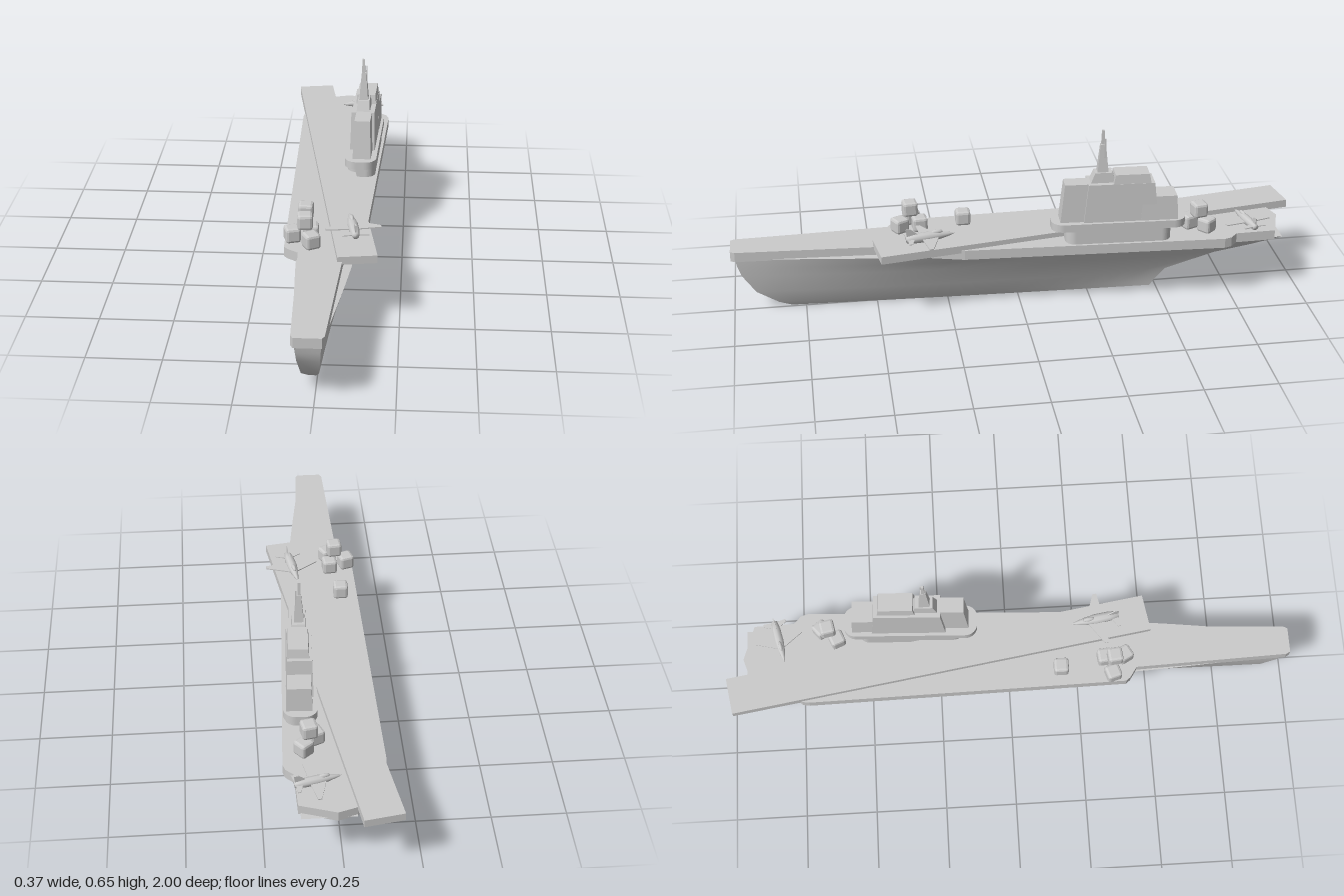
import * as THREE from 'three';
import { toCreasedNormals } from 'three/addons/utils/BufferGeometryUtils.js';
import { RoundedBoxGeometry } from 'three/addons/geometries/RoundedBoxGeometry.js';

const material = new THREE.MeshStandardMaterial({ color: 0xcccccc });
const flat = new THREE.MeshStandardMaterial({ color: 0xcccccc, flatShading: true });

function add(parent, name, geometry, x = 0, y = 0, z = 0, mat = material) {
  const mesh = new THREE.Mesh(geometry, mat);
  mesh.name = name;
  mesh.position.set(x, y, z);
  parent.add(mesh);
  return mesh;
}

// Horizontal plate with an outline in (x, z)
function slab(shape, height) {
  const geo = new THREE.ExtrudeGeometry(shape, { depth: height, bevelEnabled: false, curveSegments: 8 });
  return geo.rotateX(-Math.PI / 2);
}
const outline = (points) => new THREE.Shape(points.map(([x, z]) => new THREE.Vector2(x, -z)));

function roundedRect(w, d, r) {
  const s = new THREE.Shape(), x = w / 2, y = d / 2;
  s.moveTo(x, r - y);
  s.absarc(x - r, y - r, r, 0, Math.PI / 2);
  s.absarc(r - x, y - r, r, Math.PI / 2, Math.PI);
  s.absarc(r - x, r - y, r, Math.PI, Math.PI * 1.5);
  s.absarc(x - r, r - y, r, Math.PI * 1.5, Math.PI * 2);
  return s;
}

// Block standing on y = 0, narrowing towards its top
function taper(w, h, d, topW, topD) {
  const geo = new THREE.BoxGeometry(w, h, d).translate(0, h / 2, 0);
  const p = geo.attributes.position;
  for (let i = 0; i < p.count; i++) {
    if (p.getY(i) > h / 2) p.setXYZ(i, p.getX(i) * topW / w, h, p.getZ(i) * topD / d);
  }
  geo.computeVertexNormals();
  return geo;
}

// V-shaped hull: each waterline is [y, bow z, stern z, bow, middle and stern half width]
function hullGeometry() {
  const rows = [
    [0.003, 0.8, -0.48, 0.003, 0.008, 0.005],
    [0.022, 0.845, -0.49, 0.012, 0.018, 0.008],
    [0.075, 0.92, -0.53, 0.028, 0.042, 0.017],
    [0.145, 0.966, -0.7, 0.036, 0.068, 0.045],
    [0.18, 0.978, -0.82, 0.039, 0.088, 0.068],
    [0.215, 0.985, -0.93, 0.042, 0.11, 0.088],
  ];
  const steps = 20, n = rows.length, ring = n * 2, pos = [], idx = [];
  for (let i = 0; i <= steps; i++) {
    const t = i / steps;
    for (let k = 0; k < ring; k++) {
      const side = k < n ? 1 : -1;
      const [y, bow, stern, a, b, c] = rows[k < n ? n - 1 - k : k - n];
      const z = bow + (stern - bow) * t;
      const half = t < 0.5
        ? a + (b - a) * Math.sin(t * Math.PI)
        : b + (c - b) * (2 * t - 1) ** 2;
      pos.push(0.015 - 0.034 * z + side * half, y, z);
    }
  }
  for (let i = 0; i < steps; i++) {
    for (let k = 0; k < ring; k++) {
      const a = i * ring + k, b = i * ring + (k + 1) % ring;
      idx.push(a, b, a + ring, b, b + ring, a + ring);
    }
  }
  // bow and stern faces
  const last = steps * ring;
  for (let k = 0; k < n - 1; k++) {
    const a = k, b = k + 1, c = ring - 2 - k, d = ring - 1 - k;
    idx.push(a, d, b, b, d, c);
    idx.push(last + a, last + b, last + d, last + b, last + c, last + d);
  }
  const geo = new THREE.BufferGeometry();
  geo.setAttribute('position', new THREE.Float32BufferAttribute(pos, 3));
  geo.setIndex(idx);
  return toCreasedNormals(geo, 0.45);
}

// Small jet with its nose towards -z
function aircraft(name) {
  const g = new THREE.Group();
  g.name = name;
  const profile = [[0, -0.085], [0.012, -0.083], [0.017, -0.05], [0.018, 0], [0.013, 0.04], [0.006, 0.072], [0, 0.09]];
  const body = new THREE.LatheGeometry(profile.map(([r, y]) => new THREE.Vector2(r, y)), 10);
  add(g, 'fuselage', body.rotateX(-Math.PI / 2));
  const canopy = new THREE.SphereGeometry(1, 10, 6).scale(0.008, 0.009, 0.022);
  add(g, 'canopy', canopy, 0, 0.013, -0.025);
  for (const s of [1, -1]) {
    const wing = outline([[0, -0.035], [s * 0.094, 0.012], [s * 0.094, 0.026], [0, 0.03]]);
    add(g, 'wing', slab(wing, 0.004), 0, -0.004, 0);
    const tail = outline([[0, 0.05], [s * 0.045, 0.072], [s * 0.045, 0.084], [0, 0.08]]);
    add(g, 'tailplane', slab(tail, 0.003), 0, 0, 0);
  }
  const fin = new THREE.Shape([[-0.035, 0.008], [-0.082, 0.008], [-0.085, 0.038], [-0.07, 0.038]]
    .map(([x, y]) => new THREE.Vector2(x, y)));
  const finGeo = new THREE.ExtrudeGeometry(fin, { depth: 0.004, bevelEnabled: false });
  add(g, 'tailFin', finGeo.translate(0, 0, -0.002).rotateY(Math.PI / 2));
  return g;
}

export function createModel() {
  const model = new THREE.Group();
  model.name = 'aircraftCarrier';

  add(model, 'hull', hullGeometry());

  // Main deck and the angled runway across it
  const deck = outline([
    [-0.062, 1], [0.026, 1], [0.034, 0.985], [0.062, 0.48], [0.135, 0.2], [0.18, -0.71], [0.172, -0.735],
    [0.145, -0.76], [0.142, -0.9], [0.02, -0.94], [-0.045, -0.92], [-0.12, -0.77], [-0.15, -0.735],
    [-0.154, -0.71], [-0.137, 0.41], [-0.125, 0.425], [-0.088, 0.45], [-0.07, 0.985],
  ]);
  add(model, 'deck', slab(deck, 0.035), 0, 0.21, 0);
  const runway = outline([[-0.185, -0.978], [-0.055, -1], [0.175, 0.49], [0.045, 0.51]]);
  add(model, 'runway', slab(runway, 0.028), 0, 0.235, 0);

  // Command tower
  const island = new THREE.Group();
  island.name = 'island';
  island.position.set(0.102, 0, -0.34);
  island.rotation.y = -0.045;
  model.add(island);
  add(island, 'islandBase', slab(roundedRect(0.1, 0.37, 0.035), 0.055), 0, 0.243, 0);
  add(island, 'islandPlatform', slab(roundedRect(0.112, 0.47, 0.042), 0.028), 0, 0.296, 0);
  add(island, 'foreTower', taper(0.065, 0.142, 0.13, 0.056, 0.1), 0.004, 0.322, 0.14);
  add(island, 'midTower', taper(0.09, 0.142, 0.26, 0.082, 0.23), 0, 0.322, -0.006);
  add(island, 'aftTower', taper(0.086, 0.09, 0.13, 0.078, 0.12), 0.003, 0.322, -0.14);
  add(island, 'bridge', taper(0.072, 0.034, 0.13, 0.066, 0.118), 0.004, 0.463, -0.043);

  // Stepped mast
  add(island, 'mastFoot', taper(0.048, 0.037, 0.09, 0.042, 0.06), 0, 0.463, 0.055);
  add(island, 'mast', taper(0.032, 0.1, 0.038, 0.016, 0.018), -0.001, 0.5, 0.057);
  add(island, 'antenna', taper(0.011, 0.052, 0.012, 0.009, 0.008), -0.003, 0.598, 0.057);
  add(island, 'sideAntenna', taper(0.007, 0.12, 0.01, 0.004, 0.005), 0.008, 0.502, 0.05);

  // Chamfered crates: x, bottom y, z, turn
  const crates = [
    [-0.08, 0.245, 0.182, 0], [-0.113, 0.245, 0.363, 0.3], [-0.052, 0.245, 0.338, 0.1],
    [-0.047, 0.245, 0.408, 0.5], [-0.07, 0.298, 0.37, 0.1],
    [0.068, 0.245, -0.605, 0.4], [0.108, 0.245, -0.66, 0.7], [0.09, 0.298, -0.634, 0.2],
  ];
  for (const [x, y, z, turn] of crates) {
    const crate = new RoundedBoxGeometry(0.052, 0.052, 0.052, 1, 0.009);
    add(model, 'crate', crate, x, y + 0.026, z, flat).rotation.y = turn;
  }

  // Parked aircraft
  const runwayJet = aircraft('runwayAircraft');
  runwayJet.position.set(0.086, 0.285, 0.315);
  runwayJet.rotation.y = 0.17;
  const sternJet = aircraft('sternAircraft');
  sternJet.position.set(0.075, 0.265, -0.81);
  sternJet.rotation.y = 1.8;
  sternJet.scale.setScalar(0.9);
  model.add(runwayJet, sternJet);

  return model;
}
